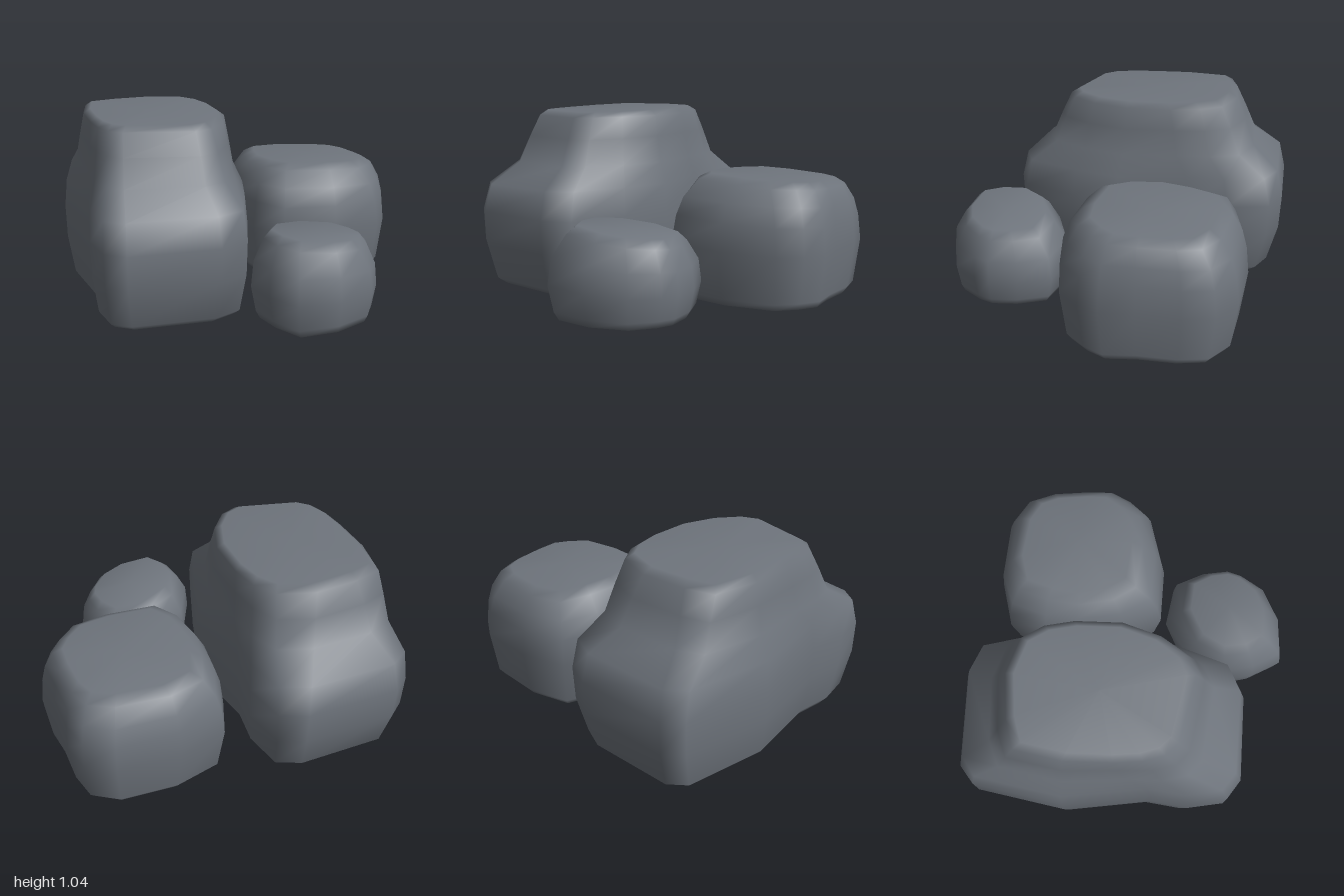
import * as THREE from 'three';

const stone = new THREE.MeshStandardMaterial({ color: 0x6f757d });
stone.name = 'slate grey stone';

// A boulder lofted between a wide base outline and a smaller crown outline.
// outline: [baseX, baseZ, crownX, crownZ] per corner
// levels: [height, blend from base to crown, scale about the centre]
// tilt: relative rise of the height along x and z
function boulder(name, outline, levels, tilt) {
  const n = outline.length;
  const mean = k => outline.reduce((sum, p) => sum + p[k], 0) / n;
  const c = [mean(0), mean(1), mean(2), mean(3)];
  const pos = [], index = [];
  const lift = (x, y, z) => y * (1 + tilt[0] * (x - c[0]) + tilt[1] * (z - c[1]));

  levels.forEach(([y, t, s]) => {
    const cx = THREE.MathUtils.lerp(c[0], c[2], t);
    const cz = THREE.MathUtils.lerp(c[1], c[3], t);
    outline.forEach(p => {
      const x = cx + (THREE.MathUtils.lerp(p[0], p[2], t) - cx) * s;
      const z = cz + (THREE.MathUtils.lerp(p[1], p[3], t) - cz) * s;
      pos.push(x, lift(x, y, z), z);
    });
  });
  const bottom = pos.length / 3, top = bottom + 1;
  const height = levels[levels.length - 1][0];
  pos.push(c[0], 0, c[1], c[2], lift(c[2], height, c[3]), c[3]);

  // Sides, then the two caps
  const last = (levels.length - 1) * n;
  for (let j = 0; j < n; j++) {
    const k = (j + 1) % n;
    for (let r = 0; r < last; r += n) {
      index.push(r + k, r + j, r + n + j, r + k, r + n + j, r + n + k);
    }
    index.push(j, k, bottom, last + k, last + j, top);
  }

  const geometry = new THREE.BufferGeometry();
  geometry.setAttribute('position', new THREE.Float32BufferAttribute(pos, 3));
  geometry.setIndex(index);
  geometry.computeVertexNormals();
  const mesh = new THREE.Mesh(geometry, stone);
  mesh.name = name;
  return mesh;
}

export function createModel() {
  const group = new THREE.Group();
  group.name = 'boulders';

  // Tall boulder with shoulders at front and back
  group.add(boulder('tallBoulder', [
    [-1, -0.62, -0.86, -0.36], [-0.92, -0.72, -0.72, -0.44],
    [-0.4, -0.85, -0.48, -0.52], [-0.24, -0.82, -0.27, -0.5],
    [-0.13, -0.6, -0.17, -0.4], [-0.1, -0.37, -0.1, -0.25],
    [0.08, 0.01, -0.04, 0], [0.07, 0.3, -0.06, 0.22],
    [0.04, 0.64, -0.13, 0.38], [-0.1, 0.75, -0.22, 0.45],
    [-0.58, 0.84, -0.6, 0.45], [-0.7, 0.79, -0.68, 0.4],
    [-0.78, 0.6, -0.74, 0.3], [-0.8, 0.37, -0.79, 0.15],
    [-0.98, -0.1, -0.85, -0.1],
  ], [
    [0, 0, 0.85], [0.04, 0, 0.92], [0.26, 0, 0.99], [0.45, 0, 1], [0.61, 0.12, 1],
    [0.73, 0.66, 1.02], [0.88, 0.84, 1.01], [1, 1, 1], [1.03, 1, 0.9],
  ], [0, -0.02]));

  // Medium boulder at the back
  group.add(boulder('mediumBoulder', [
    [0, -0.5, 0.13, -0.5], [0.03, -0.74, 0.15, -0.68],
    [0.28, -0.87, 0.32, -0.77], [0.62, -0.93, 0.6, -0.8],
    [0.79, -0.87, 0.74, -0.76], [0.87, -0.72, 0.81, -0.66],
    [0.93, -0.5, 0.87, -0.48], [1, -0.33, 0.9, -0.34],
    [0.97, -0.2, 0.86, -0.24], [0.9, -0.06, 0.78, -0.13],
    [0.62, 0.09, 0.6, -0.07], [0.3, 0.15, 0.33, -0.04],
    [0.14, -0.03, 0.22, -0.14], [0.04, -0.3, 0.14, -0.32],
  ], [
    [0, 0, 0.87], [0.04, 0, 0.93], [0.3, 0, 1], [0.45, 0.15, 1],
    [0.55, 0.4, 1], [0.64, 0.9, 1], [0.675, 1, 0.87],
  ], [-0.04, 0.05]));

  // Small boulder at the front
  group.add(boulder('smallBoulder', [
    [0.06, 0.62, 0.15, 0.57], [0.12, 0.35, 0.2, 0.42],
    [0.34, 0.18, 0.36, 0.3], [0.58, 0.17, 0.55, 0.28],
    [0.7, 0.32, 0.64, 0.38], [0.76, 0.47, 0.68, 0.48],
    [0.75, 0.57, 0.67, 0.56], [0.69, 0.73, 0.6, 0.68],
    [0.5, 0.87, 0.48, 0.76], [0.27, 0.93, 0.29, 0.79],
    [0.14, 0.78, 0.2, 0.7],
  ], [
    [0, 0, 0.87], [0.04, 0, 0.93], [0.17, 0, 1], [0.3, 0.15, 1],
    [0.41, 0.75, 1], [0.455, 1, 0.92],
  ], [-0.22, 0.12]));

  return group;
}
